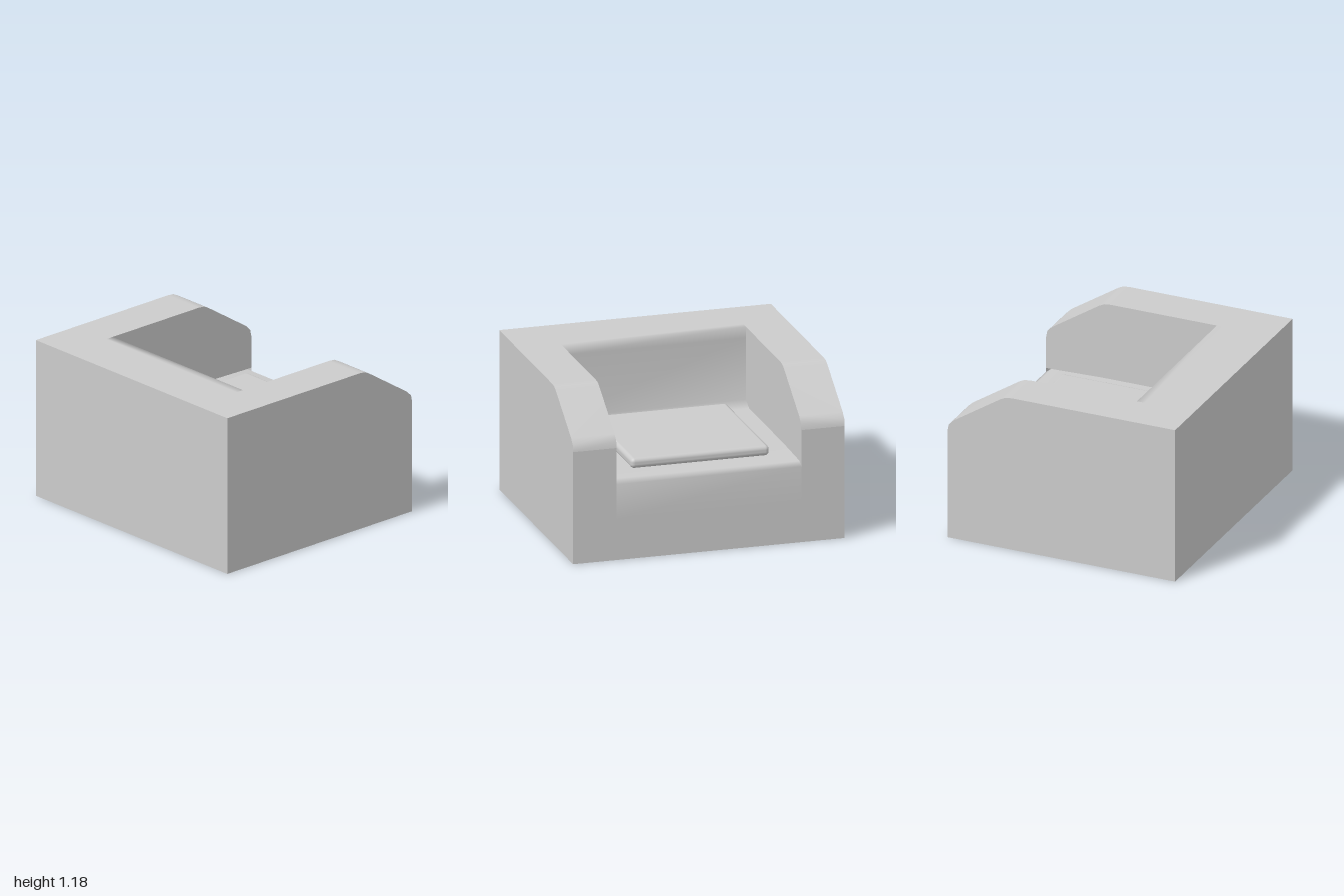
import * as THREE from 'three';
import { RoundedBoxGeometry } from 'three/addons/geometries/RoundedBoxGeometry.js';

const SEAT = 0.59, INNER = 0.68, OUTER = 1, BACK = 0.88;
const material = new THREE.MeshStandardMaterial({ color: 0xcccccc, side: THREE.DoubleSide });

// Hollow arm: a box whose rows and columns are moved onto the side profile
function armGeometry() {
  const zs = [-0.88, -0.87, -0.83, -0.47, -0.43, -0.38, 0.44, 0.88];
  const tops = [0.83, 0.88, 0.92, 1.155, 1.175, 1.18, 1.18, 1.18];
  const n = zs.length - 1;
  const geo = new THREE.BoxGeometry(1, 2, n, 1, 2, n);
  const pos = geo.attributes.position;
  for (let i = 0; i < pos.count; i++) {
    const col = Math.round(pos.getZ(i) + n / 2);
    const row = Math.round(pos.getY(i) + 1);
    pos.setXYZ(i, pos.getX(i) > 0 ? OUTER : INNER, [0, SEAT, tops[col]][row], zs[col]);
  }
  // no underside, and no inner wall below the seat
  const kept = [];
  const normal = geo.attributes.normal;
  for (let t = 0; t < geo.index.count; t += 3) {
    const tri = [0, 1, 2].map((k) => geo.index.getX(t + k));
    const meanY = tri.reduce((s, v) => s + pos.getY(v) / 3, 0);
    const underside = normal.getY(tri[0]) < -0.5;
    const lowInner = normal.getX(tri[0]) < -0.5 && meanY < SEAT;
    if (!underside && !lowInner) kept.push(...tri);
  }
  geo.setIndex(kept);
  geo.computeVertexNormals();
  // soft shading on the outer upright corners
  for (let i = 0; i < pos.count; i++) {
    const z = pos.getZ(i), y = pos.getY(i);
    if (pos.getX(i) < OUTER || Math.abs(z) < BACK) continue;
    const v = new THREE.Vector3(1, y > SEAT ? 0.8 : 0, Math.sign(z)).normalize();
    normal.setXYZ(i, v.x, v.y, v.z);
  }
  return geo;
}

// One sheet: front panel, seat deck, backrest, top and rear panel ([z, y] points)
function bodyGeometry() {
  const profile = [
    [-0.88, 0], [-0.88, 0.3], [-0.88, 0.56], [-0.84, 0.59], [-0.44, 0.6], [0.36, 0.6],
    [0.44, 0.64], [0.44, 1.1], [0.44, 1.18], [0.5, 1.18],
    [0.88, 1.18], [0.88, 1.18], [0.88, 0],
  ];
  const geo = new THREE.PlaneGeometry(2 * INNER, 1, 1, profile.length - 1);
  const pos = geo.attributes.position;
  for (let i = 0; i < pos.count; i++) {
    const [z, y] = profile[Math.floor(i / 2)];
    pos.setXYZ(i, pos.getX(i), y, z);
  }
  geo.computeVertexNormals();
  return geo;
}

export function createModel() {
  const group = new THREE.Group();
  group.name = 'armchair';
  const add = (name, geo) => {
    const mesh = new THREE.Mesh(geo, material);
    mesh.name = name;
    group.add(mesh);
    return mesh;
  };

  add('seatAndBackrest', bodyGeometry());

  const arm = armGeometry();
  add('leftArm', arm);
  add('rightArm', arm).scale.x = -1;

  // Loose seat cushion
  add('cushion', new RoundedBoxGeometry(1.02, 0.075, 1.02, 3, 0.03)).position.set(0, 0.63, -0.17);

  return group;
}
